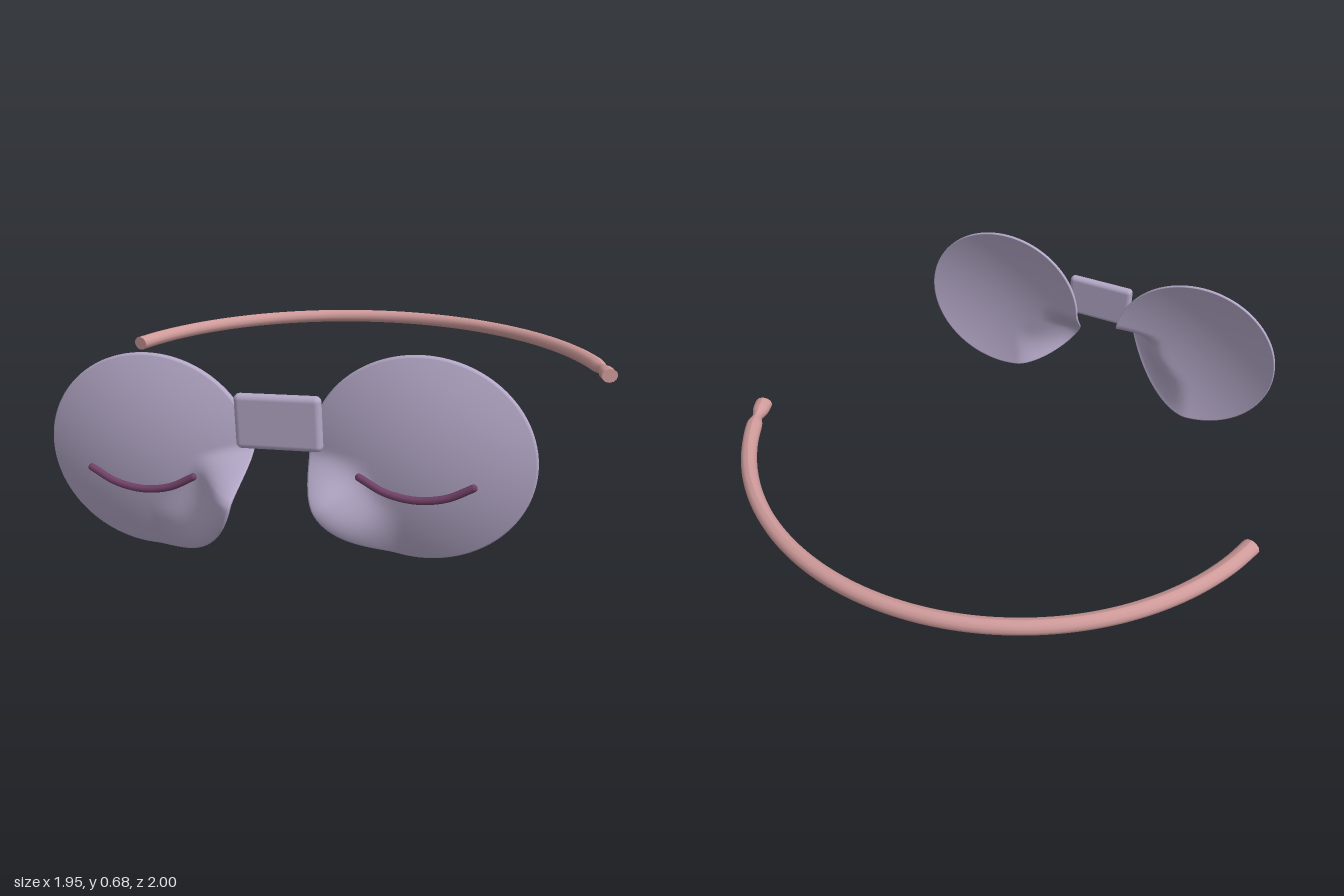
import * as THREE from 'three';
import { mergeVertices } from 'three/addons/utils/BufferGeometryUtils.js';
import { RoundedBoxGeometry } from 'three/addons/geometries/RoundedBoxGeometry.js';

const { smoothstep, radToDeg } = THREE.MathUtils;
const fabric = new THREE.MeshStandardMaterial({ color: 0xb3a7c6, side: THREE.DoubleSide });
const strapMat = new THREE.MeshStandardMaterial({ color: 0xcf9a9a, side: THREE.DoubleSide });
const lashMat = new THREE.MeshStandardMaterial({ color: 0x6f4066 });

function mesh(name, geometry, material) {
  const m = new THREE.Mesh(geometry, material);
  m.name = name;
  return m;
}

// Shallow domed cup whose lower inner rim flares forward beside the nose.
// flare: amount, and the angles (degrees) where it starts, peaks and ends
function eyeCup(side, flare) {
  const rx = 0.34, ry = 0.315;
  const profile = [];
  const n = 18;
  for (let i = 0; i <= n; i++) {
    const r = Math.sin((i / n) * Math.PI / 2) * 0.985;
    profile.push(new THREE.Vector2(r, 0.05 * (1 - r * r)));
  }
  profile.push(new THREE.Vector2(0.997, 0), new THREE.Vector2(1, 0.006), new THREE.Vector2(0.997, 0.014));
  for (let i = n; i >= 0; i--) {
    const r = Math.sin((i / n) * Math.PI / 2) * 0.985;
    profile.push(new THREE.Vector2(r, 0.016 + 0.061 * (1 - r * r)));
  }
  let g = new THREE.LatheGeometry(profile, 120);
  g.rotateX(Math.PI / 2);
  const p = g.attributes.position;
  for (let i = 0; i < p.count; i++) {
    const x = p.getX(i), y = p.getY(i), r = Math.hypot(x, y);
    const a = radToDeg(Math.atan2(y, -side * x));
    const around = a > flare.peak
      ? 1 - smoothstep(a, flare.peak, flare.top)
      : Math.pow(smoothstep(a, flare.bottom, flare.peak), 0.8);
    const push = flare.amount * around * smoothstep(r, 0.45, 1.02);
    p.setXYZ(i, x * rx, y * ry, p.getZ(i) + push);
  }
  g.deleteAttribute('uv');
  g.deleteAttribute('normal');
  g = mergeVertices(g, 1e-5);
  g.computeVertexNormals();
  return g;
}

// Curved closed-eye line with rounded ends
function closedEye() {
  const group = new THREE.Group();
  const pts = [[-0.167, 0.055], [-0.09, 0.015], [0, 0], [0.09, 0.015], [0.167, 0.055]]
    .map(([x, y]) => new THREE.Vector3(x, y, 0));
  group.add(mesh('eyeLine', new THREE.TubeGeometry(new THREE.CatmullRomCurve3(pts), 32, 0.0115, 10), lashMat));
  for (const end of [pts[0], pts[4]]) {
    const tip = mesh('eyeLineEnd', new THREE.SphereGeometry(0.0115, 10, 8), lashMat);
    tip.position.copy(end);
    group.add(tip);
  }
  return group;
}

// Head strap: an arc of tube, slightly wider at the ends and pinched near one end
function strap() {
  const group = new THREE.Group();
  const R = 0.982, zc = 0.007, y = 0.357, half = 1.288;
  const pts = [];
  for (let i = 0; i <= 24; i++) {
    const a = (i / 12 - 1) * half;
    pts.push(new THREE.Vector3(R * Math.sin(a), y, zc - R * Math.cos(a)));
  }
  const curve = new THREE.CatmullRomCurve3(pts);
  const radial = 12, steps = 160;
  const g = new THREE.TubeGeometry(curve, steps, 0.027, radial);
  const p = g.attributes.position, v = new THREE.Vector3();
  for (let i = 0; i < p.count; i++) {
    const t = Math.floor(i / (radial + 1)) / steps;
    const c = curve.getPointAt(t);
    const pinch = 1 - 0.45 * Math.exp(-(((t - 0.965) / 0.011) ** 2));
    const wide = 1 + 0.16 * Math.abs(2 * t - 1) ** 4;
    v.fromBufferAttribute(p, i).sub(c);
    v.set(v.x * pinch * wide, v.y * (0.5 + 0.5 * pinch), v.z * pinch * wide).add(c);
    p.setXYZ(i, v.x, v.y, v.z);
  }
  g.computeVertexNormals();
  group.add(mesh('strapBand', g, strapMat));
  for (const t of [0, 1]) {
    const cap = mesh('strapEnd', new THREE.CircleGeometry(0.027, radial), strapMat);
    const dir = curve.getTangentAt(t).multiplyScalar(t ? 1 : -1);
    cap.position.copy(curve.getPointAt(t));
    cap.lookAt(cap.position.clone().add(dir));
    cap.scale.x = 1.16;
    group.add(cap);
  }
  return group;
}

export function createModel() {
  const model = new THREE.Group();
  model.name = 'sleepMask';

  const sides = [
    { name: 'right', side: -1, y: 0.32, flare: { amount: 0.215, top: 10, peak: -13, bottom: -90 } },
    { name: 'left', side: 1, y: 0.37, flare: { amount: 0.125, top: 2, peak: -30, bottom: -78 } },
  ];
  for (const s of sides) {
    const cup = mesh(s.name + 'EyeCup', eyeCup(s.side, s.flare), fabric);
    cup.position.set(0.425 * s.side, s.y, 0.77);
    model.add(cup);

    const eye = closedEye();
    eye.name = s.name + 'ClosedEye';
    eye.position.set(0.425 * s.side, s.y - 0.095, 0.866);
    model.add(eye);
  }

  // Bridge over the nose
  const bridge = mesh('noseBridge', new RoundedBoxGeometry(0.27, 0.172, 0.038, 4, 0.018), fabric);
  bridge.position.set(-0.002, 0.458, 0.81);
  bridge.rotation.z = 0.035;
  model.add(bridge);

  const band = strap();
  band.name = 'headStrap';
  model.add(band);
  return model;
}
